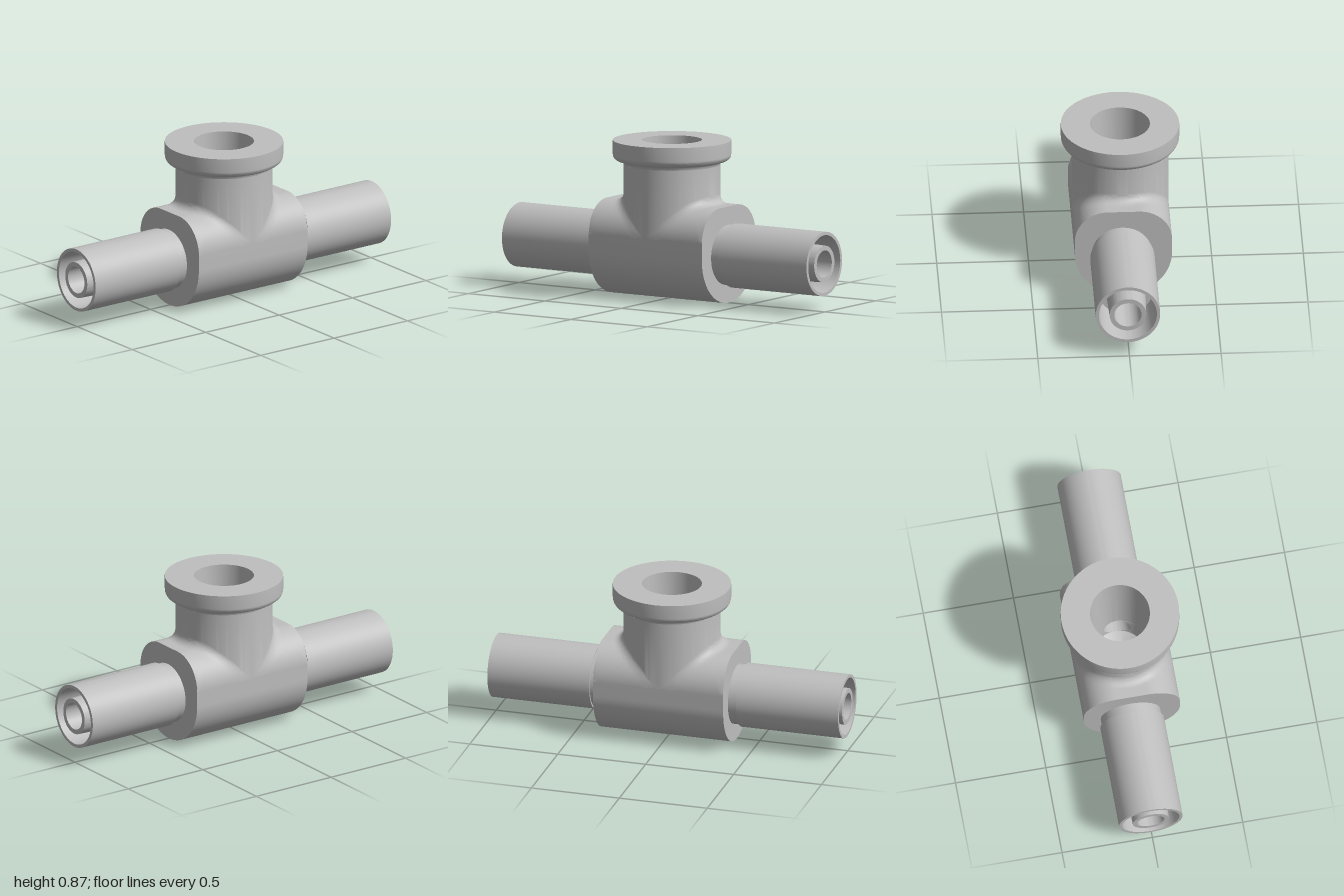
import * as THREE from 'three';
import { toCreasedNormals } from 'three/addons/utils/BufferGeometryUtils.js';

const HALF_X = 0.37, R = 0.265, AXIS_Y = 0.265; // body half length, half width, tube axis height
const TOP = 0.53, CORNER = 0.18, FLANGE_TOP = 0.868;
const BORE = 0.0745, OFFSET = 0.008;            // through bore radius, sideways shift of each arm
const BORE_LOW = 0.19, BORE_HIGH = 0.34;        // heights between which the bores cross

const metal = new THREE.MeshStandardMaterial({ color: 0xbfbfbf, side: THREE.DoubleSide });
metal.name = 'grey metal';

function part(name, geometry, crease = 0.6) {
  const mesh = new THREE.Mesh(toCreasedNormals(geometry, crease), metal);
  mesh.name = name;
  return mesh;
}

// surface patch from a function (u, v) -> [x, y, z]
function grid(nu, nv, fn) {
  const pos = [], idx = [];
  for (let i = 0; i <= nu; i++)
    for (let j = 0; j <= nv; j++) pos.push(...fn(i / nu, j / nv));
  for (let i = 0; i < nu; i++)
    for (let j = 0; j < nv; j++) {
      const a = i * (nv + 1) + j, b = a + nv + 1;
      idx.push(a, b, a + 1, b, b + 1, a + 1);
    }
  const g = new THREE.BufferGeometry();
  g.setAttribute('position', new THREE.Float32BufferAttribute(pos, 3));
  g.setIndex(idx);
  g.computeVertexNormals();
  return g;
}

const lathe = (pts, n = 96) =>
  new THREE.LatheGeometry(pts.map(([r, y]) => new THREE.Vector2(r, y)), n);

// height of the body's upper surface at z
function topHeight(z) {
  const d = Math.min(Math.max(Math.abs(z) - (R - CORNER), 0), CORNER);
  return TOP - CORNER + Math.sqrt(CORNER * CORNER - d * d);
}

// slightly tapered vertical bore
const boreRadius = (y) => 0.145 + 0.018 * (y - BORE_LOW) / (FLANGE_TOP - BORE_LOW);

// neck wall, fillet and rounded body top as one surface around the vertical axis
function shoulder() {
  const c = Math.atan2(R, HALF_X);
  const keys = [0, c, Math.PI / 2, Math.PI - c, Math.PI];
  keys.push(...keys.slice(1).map((k) => k + Math.PI));
  const per = 24, nu = per * (keys.length - 1), nv = 24;
  return grid(nu, nv, (u, v) => {
    const s = Math.min(Math.floor(u * nu / per + 1e-6), keys.length - 2);
    const a = keys[s] + (keys[s + 1] - keys[s]) * (u * nu / per - s);
    const cos = Math.cos(a), sin = Math.sin(a);
    const edge = Math.min(HALF_X / Math.max(Math.abs(cos), 1e-6), R / Math.max(Math.abs(sin), 1e-6));
    const f = Math.min(0.05 * Math.abs(cos), Math.max(edge - R, 0));
    const row = Math.round(v * nv);
    let r = R, lift = 0;
    if (row === 0) return [R * cos, 0.735, R * sin];
    if (row <= 9) {
      const t = (row - 1) / 8 * Math.PI / 2;
      r = R + f * (1 - Math.cos(t));
      lift = f * (1 - Math.sin(t));
    } else {
      const t = 1 - (1 - (row - 9) / (nv - 9)) ** 2;
      r = R + f + (edge - R - f) * t;
    }
    return [r * cos, topHeight(r * sin) + lift, r * sin];
  });
}

// one half: arm, its bore, body end face and part of the inner wall
function makeHalf() {
  const half = new THREE.Group();

  // tube with tapered socket and inner nozzle
  const arm = lathe([
    [0.165, 0.36], [0.165, 0.42], [0.176, 0.42], [0.176, 1], [0.158, 1],
    [0.15, 0.75], [0.108, 0.75], [0.1, 1], [BORE, 1],
  ], 72);
  arm.rotateZ(-Math.PI / 2);
  arm.translate(0, AXIS_Y, OFFSET);
  half.add(part('tubeArm', arm));

  // through bore, starting at the vertical bore's wall
  half.add(part('throughBore', grid(48, 1, (u, v) => {
    const a = u * Math.PI * 2;
    const y = AXIS_Y + BORE * Math.sin(a), z = OFFSET + BORE * Math.cos(a);
    return [v ? 1 : Math.sqrt(boreRadius(y) ** 2 - z * z), y, z];
  })));

  // inner wall between the two side openings
  half.add(part('boreWall', grid(24, 32, (u, v) => {
    const y = BORE_LOW + (BORE_HIGH - BORE_LOW) * u, r = boreRadius(y);
    const w = Math.sqrt(Math.max(BORE * BORE - (y - AXIS_Y) ** 2, 0));
    const a0 = Math.asin((w + OFFSET) / r), a1 = Math.PI - Math.asin((w - OFFSET) / r);
    const a = a0 + (a1 - a0) * v;
    return [r * Math.cos(a), y, r * Math.sin(a)];
  })));

  // flat end of the body, drawn in (-z, y) and turned to face +x
  const s = new THREE.Shape();
  s.moveTo(-R, AXIS_Y);
  s.absarc(0, AXIS_Y, R, Math.PI, Math.PI * 2, false);
  s.absarc(R - CORNER, TOP - CORNER, CORNER, 0, Math.PI / 2, false);
  s.absarc(CORNER - R, TOP - CORNER, CORNER, Math.PI / 2, Math.PI, false);
  s.closePath();
  const hole = new THREE.Path();
  hole.absarc(-OFFSET, AXIS_Y, 0.164, 0, Math.PI * 2, true);
  s.holes.push(hole);
  const end = new THREE.ShapeGeometry(s, 40);
  end.rotateY(Math.PI / 2);
  end.translate(HALF_X, 0, 0);
  half.add(part('bodyEnd', end));
  return half;
}

export function createModel() {
  const model = new THREE.Group();
  model.name = 'teeFitting';

  for (const side of [1, -1]) {
    const half = makeHalf();
    half.name = side > 0 ? 'leftArm' : 'rightArm';
    if (side < 0) half.rotation.y = Math.PI;
    model.add(half);
  }

  // lower body: half round with short upright sides
  model.add(part('lowerBody', grid(66, 1, (u, v) => {
    const i = Math.round(u * 66), x = (v * 2 - 1) * HALF_X;
    if (i === 0 || i === 66) return [x, TOP - CORNER, i ? R : -R];
    const a = Math.PI + (i - 1) / 64 * Math.PI;
    return [x, AXIS_Y + R * Math.sin(a), R * Math.cos(a)];
  })));

  model.add(part('neckAndShoulder', shoulder(), 0.8));

  // flange with rounded underside, continuing into the vertical bore
  const profile = [[R, 0.735], [0.267, 0.745], [0.272, 0.752], [0.28, 0.756]];
  for (let i = 0; i <= 8; i++) {
    const a = i / 8 * Math.PI / 2;
    profile.push([0.288 + 0.035 * Math.sin(a), 0.791 - 0.035 * Math.cos(a)]);
  }
  profile.push([0.323, FLANGE_TOP], [boreRadius(FLANGE_TOP), FLANGE_TOP], [boreRadius(BORE_HIGH), BORE_HIGH]);
  model.add(part('flange', lathe(profile)));

  // conical bottom of the vertical bore
  model.add(part('boreBottom', lathe([[0.145, BORE_LOW], [0.03, 0.11], [0, 0.11]], 64), 0.4));

  return model;
}
